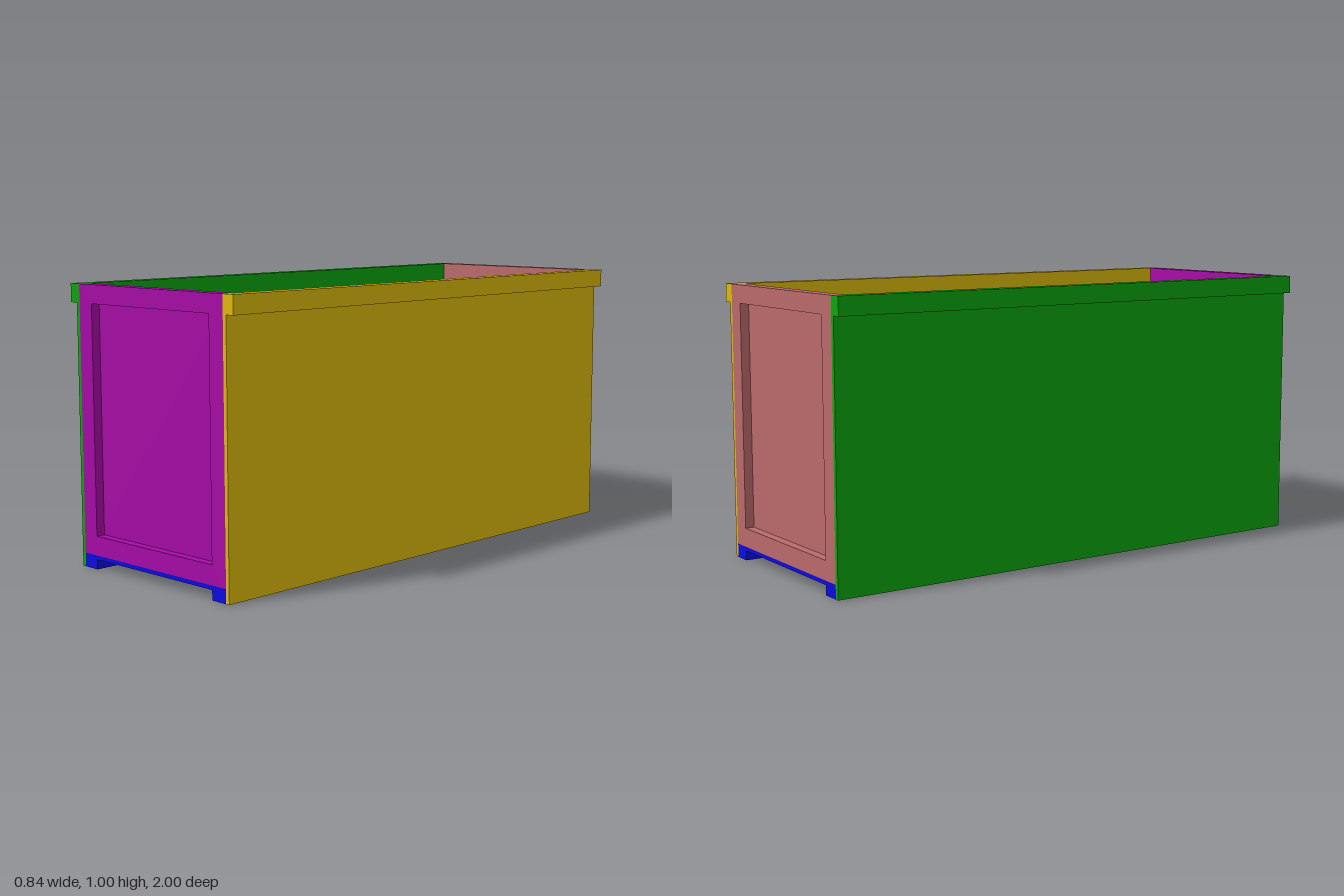
import * as THREE from 'three';

const material = (color) => new THREE.MeshStandardMaterial({ color, flatShading: true });

// Closed outline from a list of [x, y] corners
const outline = (points, Type = THREE.Shape) => new Type(points.map(([x, y]) => new THREE.Vector2(x, y)));
const rectangle = (x, y0, y1) => [[-x, y0], [x, y0], [x, y1], [-x, y1]];

// Solid with the given outline, running from z0 to z1
function prism(name, shape, z0, z1, mat) {
  const geometry = new THREE.ExtrudeGeometry(shape, { depth: z1 - z0, bevelEnabled: false });
  geometry.translate(0, 0, z0);
  const mesh = new THREE.Mesh(geometry, mat);
  mesh.name = name;
  return mesh;
}

const INNER = 0.37;    // half width between the side walls
const OUTER = 0.385;   // outer face of the side walls
const LIP = 0.418;     // outer face of the top rails
const FLOOR = 0.05;    // top of the floor
const PANEL = 0.303;   // half width of the end recess and of the gap between runners

// Thin side wall with a thick rail along its top edge
function sideWall(name, side, color) {
  const points = [
    [INNER, 0], [OUTER, 0], [OUTER, 0.934], [LIP, 0.934], [LIP, 1], [INNER, 1],
  ].map(([x, y]) => [x * side, y]);
  return prism(name, outline(points), -1, 1, material(color));
}

// End wall: raised frame around a recessed outer panel
function endWall(name, color) {
  const group = new THREE.Group();
  group.name = name;
  const mat = material(color);
  const frame = outline(rectangle(INNER, FLOOR, 1));
  frame.holes.push(outline(rectangle(PANEL, 0.119, 0.934), THREE.Path));
  group.add(
    prism(name + 'Frame', frame, 0.967, 1, mat),
    prism(name + 'Panel', outline(rectangle(INNER, FLOOR, 1)), 0.953, 0.967, mat),
  );
  return group;
}

export function createModel() {
  const model = new THREE.Group();
  model.name = 'openCrate';

  // Floor with a runner along each lower edge
  const floor = outline([
    [-INNER, 0], [-PANEL, 0], [-PANEL, 0.035], [PANEL, 0.035],
    [PANEL, 0], [INNER, 0], [INNER, FLOOR], [-INNER, FLOOR],
  ]);
  model.add(prism('floor', floor, -1, 1, material(0x0c0cdc)));

  // Long sides
  model.add(sideWall('leftWall', 1, 0xdcb80c), sideWall('rightWall', -1, 0x0ca50c));

  // Ends
  const back = endWall('backWall', 0xba6a6a);
  back.rotation.y = Math.PI;
  model.add(endWall('frontWall', 0xa50ca5), back);

  return model;
}
